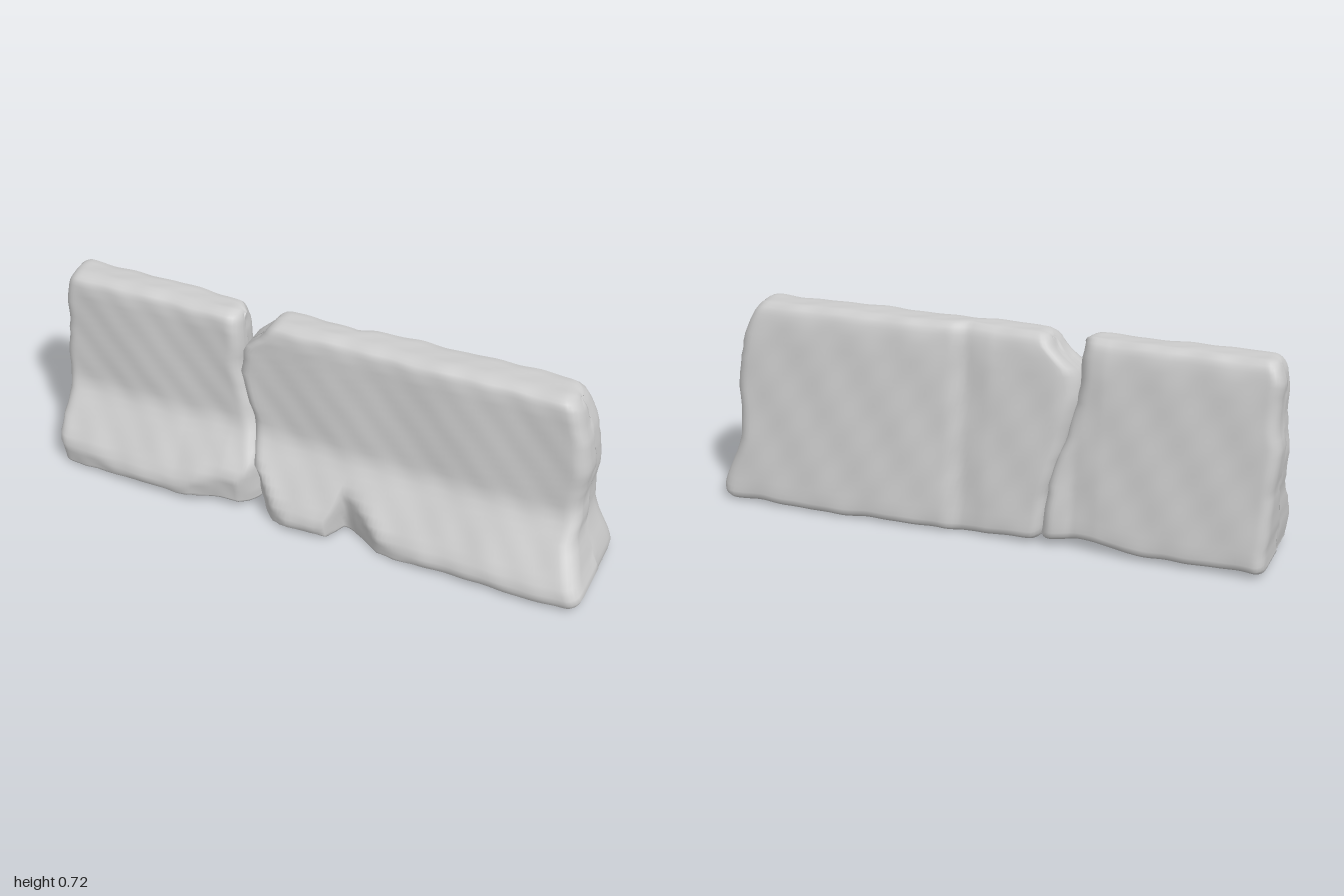
import * as THREE from 'three';

// Piecewise-linear lookup through [key, value] points
function curve(points) {
  return (t) => {
    if (t <= points[0][0]) return points[0][1];
    for (let i = 1; i < points.length; i++) {
      const [a, va] = points[i - 1], [b, vb] = points[i];
      if (t <= b) return va + ((vb - va) * (t - a)) / (b - a);
    }
    return points[points.length - 1][1];
  };
}

// Gentle lumps of worn concrete
const lumps = (a, b, seed) =>
  0.5 * Math.sin(a * 13 + b * 7 + seed) + 0.3 * Math.sin(a * 29 - b * 17 + seed * 2.3) +
  0.2 * Math.sin(a * 47 + b * 39 + seed * 4.1);

// Barrier section: depth of the front and back faces by height
const frontFace = curve([[0, 0.175], [0.012, 0.197], [0.05, 0.203], [0.08, 0.19], [0.27, 0.064],
  [0.3, 0.054], [0.67, 0.034], [0.705, 0.027], [0.72, 0.015], [0.73, -0.012]]);
const backFace = curve([[0, -0.19], [0.015, -0.208], [0.05, -0.208], [0.62, -0.143], [0.68, -0.133],
  [0.71, -0.122], [0.73, -0.1]]);

// Broken lower front edge and uneven back and underside, by length
const frontChip = curve([[-1, 0.165], [-0.9, 0.17], [-0.75, 0.19], [-0.62, 0.2], [-0.45, 0.185], [-0.36, 0.16],
  [-0.27, 0.15], [-0.22, 0.11], [-0.19, 0.105], [-0.13, 0.17], [-0.06, 0.198], [0.02, 0.198], [0.08, 0.185],
  [0.115, 0.1], [0.14, 0.1], [0.2, 0.13], [0.27, 0.175], [0.37, 0.19], [0.5, 0.2], [1, 0.2]]);
const backShift = curve([[-1, 0.01], [-0.6, 0.015], [-0.4, 0.022], [-0.31, 0.035], [-0.24, 0.018], [0, 0.018],
  [0.09, 0.032], [0.14, 0.012], [0.3, 0.002], [0.6, -0.004], [1, 0]]);
const underside = curve([[-1, 0.02], [-0.5, 0.022], [-0.4, 0.035], [-0.33, 0.04], [-0.26, 0.03], [-0.18, 0.02],
  [0, 0.012], [0.3, 0.01], [1, 0.01]]);

// Ring of [height, side]: up the front, over the top, down the back, under the base
const heights = [0, 0.006, 0.015, 0.03, 0.05, 0.08];
for (let y = 0.11; y < 0.66; y += 0.03) heights.push(y);
heights.push(0.67, 0.69, 0.705, 0.715, 0.723, 0.73);
const ring = [
  ...heights.map((y) => [y, 1]),
  ...[0.5, 0, -0.5].map((s) => [0.73, s]),
  ...heights.slice().reverse().map((y) => [y, -1]),
  ...[-0.5, 0, 0.5].map((s) => [0, s]),
];

// Loft one slab between two ragged ends whose position depends on height
function slab(name, leftEnd, rightEnd, rLeft, rRight, seed) {
  // stations: end, distance from it, and how far the cap closes in depth
  const stations = [];
  const cap = [0, 0.3, 0.6, 0.85], bevel = [0, 0.08, 0.25, 0.5, 0.75, 1];
  const N = 64;
  cap.forEach((w) => stations.push({ u: 0, q: 0, w }));
  bevel.forEach((q) => stations.push({ u: 0, q, w: 1 }));
  for (let i = 1; i < N; i++) stations.push({ u: i / N, q: 1, w: 1 });
  bevel.slice().reverse().forEach((q) => stations.push({ u: 1, q, w: 1 }));
  cap.slice().reverse().forEach((w) => stations.push({ u: 1, q: 0, w }));

  const positions = [], index = [];
  for (const { u, q, w } of stations) {
    const r = u < 0.5 ? rLeft : rRight;
    const inset = r * (1 - Math.sqrt(1 - (1 - q) ** 2));
    for (const [y, side] of ring) {
      const xl = leftEnd(y) + 0.005 * lumps(y * 2, side * 0.1, seed);
      const xr = rightEnd(y) + 0.005 * lumps(y * 2, side * 0.1, seed + 2);
      // flat run between the bevels, bevel stations inside the end radius
      let x = xl + rLeft + (xr - rRight - xl - rLeft) * u;
      if (u === 0) x = xl + rLeft * q;
      if (u === 1) x = xr - rRight * q;

      let front = Math.min(frontFace(y), frontChip(x) + 0.15 * y) + 0.006 * lumps(x, y, seed);
      let back = backFace(y) + backShift(x) + 0.005 * lumps(x, y, seed + 5);
      const mid = (front + back) / 2;
      const half = Math.max(0.01, (front - back) / 2 - inset) * w;

      const low = underside(x) + inset * 0.4 + 0.004 * lumps(x, side * 0.2, seed + 1);
      const high = 0.727 - inset * 0.5 + 0.003 * lumps(x, side * 0.1, seed + 3);
      positions.push(x, low + ((high - low) * y) / 0.73, mid + half * side);
    }
  }
  const M = ring.length;
  for (let i = 0; i < stations.length - 1; i++) {
    for (let j = 0; j < M; j++) {
      const k = (j + 1) % M;
      const a = i * M + j, b = a + M, c = (i + 1) * M + k, d = i * M + k;
      index.push(a, b, c, a, c, d);
    }
  }
  // close the remaining slit at each end
  const last = (stations.length - 1) * M;
  for (let j = 0; j < M / 2 - 1; j++) {
    const f = j, g = j + 1, h = (2 * heights.length + 2 - j), p = h - 1;
    if (g >= heights.length) break;
    index.push(f, g, p, f, p, h);
    index.push(last + f, last + p, last + g, last + f, last + h, last + p);
  }
  const geometry = new THREE.BufferGeometry();
  geometry.setAttribute('position', new THREE.Float32BufferAttribute(positions, 3));
  geometry.setIndex(index);
  geometry.computeVertexNormals();
  const mesh = new THREE.Mesh(geometry, new THREE.MeshStandardMaterial({ color: 0xcccccc }));
  mesh.name = name;
  return mesh;
}

export function createModel() {
  const group = new THREE.Group();
  group.name = 'brokenBarrier';

  // Outer ends
  const rightOuter = curve([[0, -0.975], [0.2, -0.98], [0.42, -0.995], [0.55, -0.983], [0.68, -0.985], [0.73, -0.97]]);
  const leftOuter = curve([[0, 0.99], [0.03, 0.995], [0.08, 0.975], [0.2, 0.935], [0.32, 0.922], [0.45, 0.942],
    [0.53, 0.93], [0.6, 0.92], [0.7, 0.893], [0.73, 0.87]]);

  // Crack between the slabs, opening into a notch at the top
  const crackRight = curve([[0, -0.2], [0.12, -0.21], [0.28, -0.24], [0.4, -0.28], [0.5, -0.3], [0.62, -0.305],
    [0.73, -0.315]]);
  const crackLeft = curve([[0, -0.205], [0.12, -0.215], [0.28, -0.25], [0.4, -0.29], [0.5, -0.31], [0.61, -0.305],
    [0.65, -0.26], [0.69, -0.225], [0.73, -0.2]]);

  group.add(slab('shortSlab', rightOuter, crackRight, 0.04, 0.045, 1));
  group.add(slab('longSlab', crackLeft, leftOuter, 0.045, 0.05, 4));
  return group;
}
